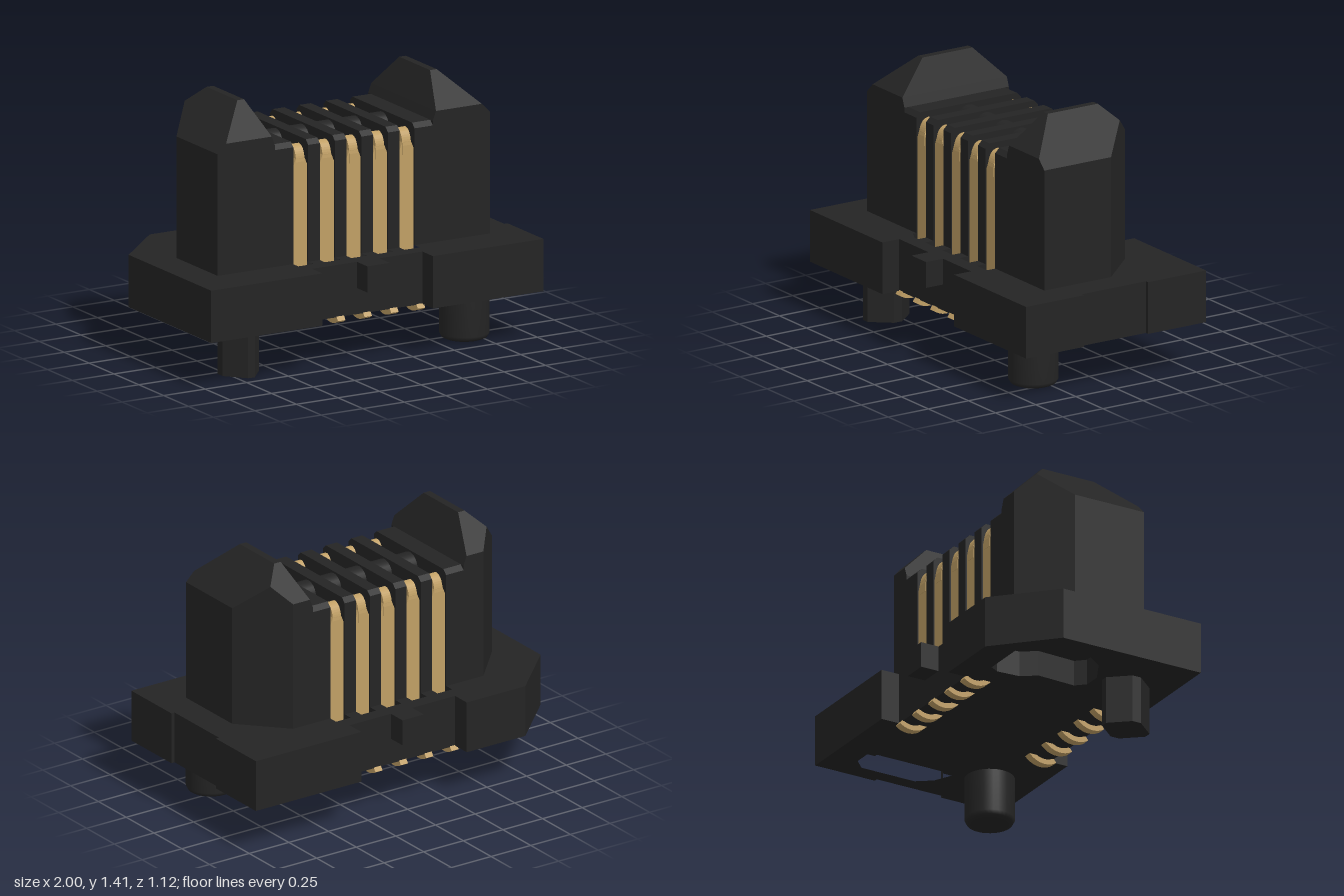
import * as THREE from 'three';
import { ConvexGeometry } from 'three/addons/geometries/ConvexGeometry.js';

const PITCH = [-0.32, -0.16, 0, 0.16, 0.32];
const V = (p) => p.map(([a, b]) => new THREE.Vector2(a, b));

export function createModel() {
  const plastic = new THREE.MeshStandardMaterial({ color: 0x242424 });
  plastic.name = 'black plastic';
  const gold = new THREE.MeshStandardMaterial({ color: 0xc09f65 });
  gold.name = 'gold metal';

  const root = new THREE.Group();
  root.name = 'connector';
  const add = (name, geo, mat, parent = root) => {
    const m = new THREE.Mesh(geo, mat);
    m.name = name;
    parent.add(m);
    return m;
  };
  const box = (x0, x1, y0, y1, z0, z1) =>
    new THREE.BoxGeometry(x1 - x0, y1 - y0, z1 - z0)
      .translate((x0 + x1) / 2, (y0 + y1) / 2, (z0 + z1) / 2);
  // plan outline in (x, z), raised from y0 to y1
  const slab = (pts, holes, y0, y1) => {
    const flip = (p) => V(p.map(([x, z]) => [x, -z]));
    const s = new THREE.Shape(flip(pts));
    s.holes = holes.map((h) => new THREE.Path(flip(h)));
    return new THREE.ExtrudeGeometry(s, { depth: y1 - y0, bevelEnabled: false })
      .rotateX(-Math.PI / 2).translate(0, y0, 0);
  };
  // side profile in (z, y), width w centred on x = cx
  const sideExtrude = (shape, w, cx) =>
    new THREE.ExtrudeGeometry(shape, { depth: w, bevelEnabled: false, curveSegments: 10 })
      .rotateY(-Math.PI / 2).translate(cx + w / 2, 0, 0);

  // base: lower layer with pockets, upper layer with tabs and contact slots
  const outline = (tab) => {
    const edge = (s) => {
      const a = [[-0.33, 0.56 * s], [-0.33, 0.455 * s]];
      const t = [[-0.06, 0.455 * s], [-0.06, 0.56 * s], [0.075, 0.56 * s], [0.075, 0.455 * s]];
      return [...a, ...(tab ? t : []), [0.335, 0.455 * s], [0.335, 0.56 * s]];
    };
    return [[-1, -0.27], [-0.7, -0.56], ...edge(-1), [1, -0.56], [1, -0.2], [0.98, -0.2],
      [0.98, 0.2], [1, 0.2], [1, 0.56], ...edge(1).reverse(), [-1, 0.56]];
  };
  const pocket = (s) => [[0.52, -0.4], [0.84, -0.4], [0.9, -0.34], [0.9, -0.02], [0.84, 0.06],
    [0.7, 0.13], [0.6, 0.13], [0.55, 0.08], [0.56, -0.14], [0.5, -0.22], [0.49, -0.35]]
    .map(([x, z]) => [x * s * (s < 0 ? 0.96 : 1), z]);
  const slots = [];
  for (const x of PITCH) for (const s of [1, -1]) {
    slots.push([[x - 0.046, 0.25 * s], [x + 0.046, 0.25 * s], [x + 0.046, 0.377 * s], [x - 0.046, 0.377 * s]]);
  }
  add('baseLower', slab(outline(false), [pocket(1), pocket(-1)], 0.26, 0.4), plastic);
  add('baseUpper', slab(outline(true), slots, 0.4, 0.54), plastic);

  // end posts with tapered tops and a cut back corner
  for (const s of [1, -1]) {
    const pts = [];
    for (const z of [0.325, -0.325]) {
      pts.push([0.475, 0.54, z], [0.475, 1.19, z], [0.494, 1.24, z]);
      pts.push([0.56, 1.41, z * 0.477], [0.6, 1.41, z * 0.477]);
    }
    pts.push([0.82, 0.54, 0.325], [0.82, 1.19, 0.325], [0.77, 1.24, 0.325],
      [0.82, 0.54, -0.09], [0.82, 1.19, -0.09], [0.682, 1.328, -0.237],
      [0.6, 0.54, -0.325], [0.6, 1.24, -0.325]);
    add(s > 0 ? 'leftPost' : 'rightPost',
      new ConvexGeometry(pts.map(([x, y, z]) => new THREE.Vector3(x * s, y, z))), plastic);
  }

  // ribs between the contacts, joined by a core and a rounded ridge
  const rib = new THREE.Shape(V([[-0.325, 0.54], [0.325, 0.54], [0.325, 1.165], [0.3, 1.19],
    [-0.3, 1.19], [-0.325, 1.165]]));
  for (const x of [-0.24, -0.08, 0.08, 0.24]) add('rib', sideExtrude(rib, 0.07, x), plastic);
  for (const s of [1, -1]) add('endRib', sideExtrude(rib, 0.11, 0.42 * s), plastic);
  add('core', box(-0.4, 0.4, 0.4, 1.08, -0.25, 0.25), plastic);
  add('ridge', new THREE.CylinderGeometry(0.068, 0.068, 0.8, 24).rotateZ(Math.PI / 2)
    .translate(0, 1.112, 0), plastic);

  // contacts: blade, hooked tip and curved solder foot
  const hook = new THREE.Shape();
  hook.moveTo(0.322, 1.03);
  hook.lineTo(0.322, 1.08);
  hook.quadraticCurveTo(0.315, 1.165, 0.26, 1.165);
  hook.quadraticCurveTo(0.225, 1.155, 0.215, 1.09);
  hook.lineTo(0.24, 1.08);
  hook.lineTo(0.296, 1.08);
  hook.lineTo(0.296, 1.03);
  const foot = new THREE.Shape();
  foot.absarc(0.4, 0.341, 0.121, -2.6, -0.95, false);
  foot.absarc(0.4, 0.341, 0.093, -0.95, -2.6, true);
  const shoulder = new THREE.Shape(V([[-0.042, 1.06], [0.042, 1.06], [0.026, 1.1], [-0.026, 1.1]]));
  for (const s of [1, -1]) {
    const row = new THREE.Group();
    row.name = s > 0 ? 'frontContacts' : 'backContacts';
    if (s < 0) row.rotation.y = Math.PI;
    root.add(row);
    for (const x of PITCH) {
      add('blade', box(x - 0.042, x + 0.042, 0.4, 1.06, 0.245, 0.32), gold, row);
      add('shoulder', new THREE.ExtrudeGeometry(shoulder, { depth: 0.025, bevelEnabled: false })
        .translate(x, 0, 0.295), gold, row);
      add('tip', sideExtrude(hook, 0.052, x), gold, row);
      add('foot', sideExtrude(foot, 0.045, x), gold, row);
    }
  }

  // locating pegs: one round, one diamond-shaped
  const peg = V([[0, 0], [0.1, 0], [0.12, 0.009], [0.131, 0.03], [0.131, 0.27]]);
  add('roundPeg', new THREE.LatheGeometry(peg, 32).translate(0.68, 0, 0.3), plastic);
  const diamond = [[0.11, 0.025], [0.02, 0.131], [-0.02, 0.131], [-0.11, 0.025],
    [-0.11, -0.025], [-0.02, -0.131], [0.02, -0.131], [0.11, -0.025]];
  add('diamondPeg', slab(diamond, [], 0, 0.27).translate(-0.68, 0, 0.3), plastic);

  return root;
}
